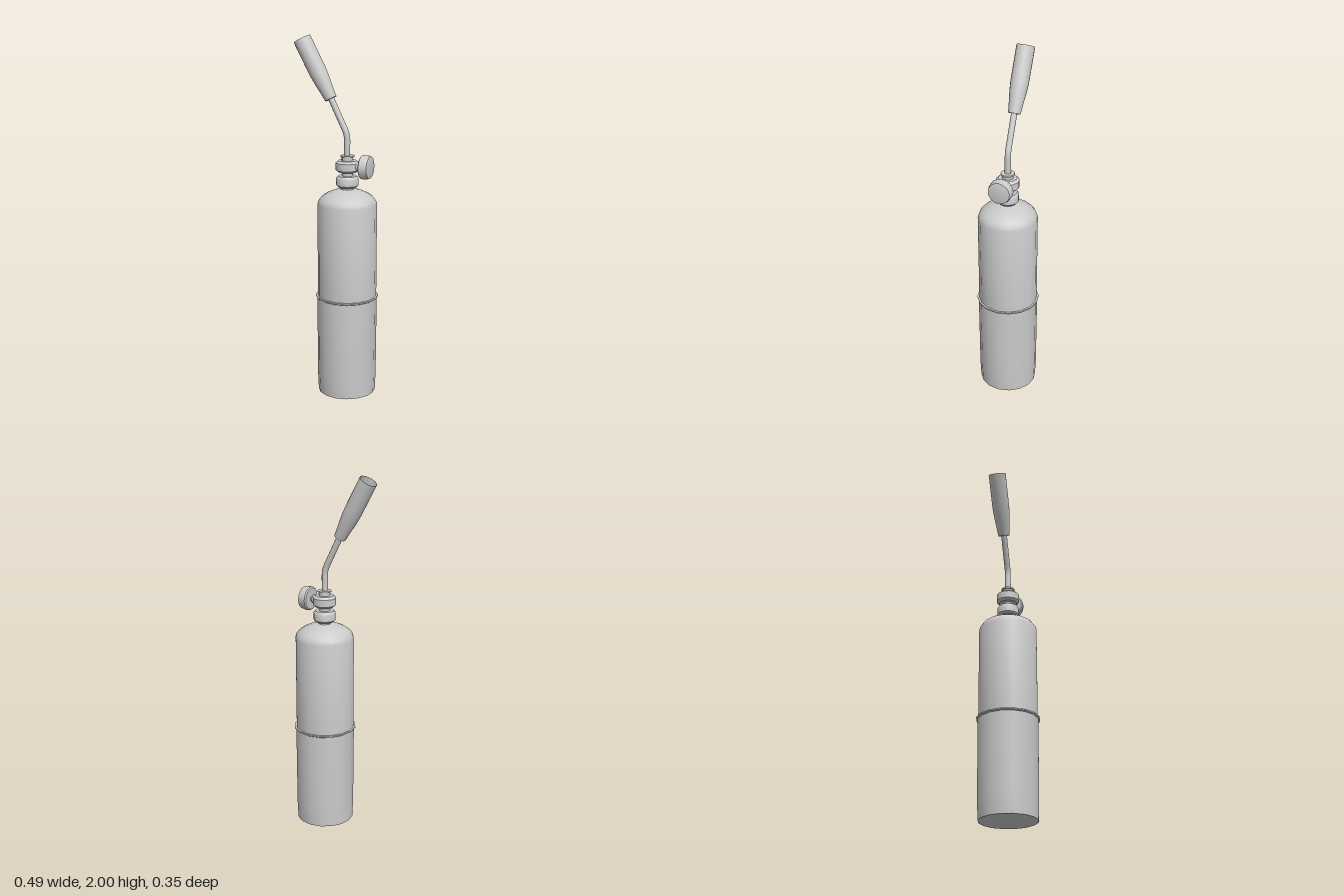
import * as THREE from 'three';
import { toCreasedNormals } from 'three/addons/utils/BufferGeometryUtils.js';

const grey = new THREE.MeshStandardMaterial({ color: 0xcccccc, side: THREE.DoubleSide });
const AXIS = 0.068; // x of the tank axis

// Turned part from [radius, height] pairs, with sharp corners kept
function turned(name, profile, sides = 16) {
  const points = profile.map(([r, y]) => new THREE.Vector2(r, y));
  const geometry = toCreasedNormals(new THREE.LatheGeometry(points, sides), 0.7);
  const mesh = new THREE.Mesh(geometry, grey);
  mesh.name = name;
  mesh.position.x = AXIS;
  return mesh;
}

export function createModel() {
  const group = new THREE.Group();
  group.name = 'gasTorch';

  // Fuel tank: upper body with domed shoulder, lower sleeve with a thin lip
  group.add(turned('tank', [
    [0.164, 0.56], [0.164, 1.09], [0.158, 1.11], [0.142, 1.13],
    [0.115, 1.148], [0.08, 1.163], [0.04, 1.172], [0.034, 1.174],
  ]));
  group.add(turned('sleeve', [
    [0, 0], [0.161, 0], [0.165, 0.1], [0.167, 0.555], [0.175, 0.56],
    [0.175, 0.567], [0.163, 0.567],
  ]));

  // Valve body: neck, two rounded collars and a top flange
  group.add(turned('valveBody', [
    [0.036, 1.165], [0.036, 1.185], [0.052, 1.185], [0.061, 1.195],
    [0.061, 1.235], [0.052, 1.247], [0.03, 1.247], [0.03, 1.268],
    [0.05, 1.268], [0.064, 1.28], [0.064, 1.32], [0.05, 1.332],
    [0.031, 1.332], [0.031, 1.352], [0.038, 1.352], [0.038, 1.36], [0, 1.36],
  ]));

  // Control knob with its boss and stem, pointing to +x
  const control = new THREE.Group();
  control.name = 'control';
  control.position.set(AXIS, 1.302, 0);
  control.rotation.z = -Math.PI / 2;
  const stem = turned('knobStem', [
    [0.028, 0.05], [0.024, 0.071], [0.012, 0.071], [0.012, 0.095],
  ], 12);
  const knob = turned('knob', [
    [0, 0.086], [0.06, 0.084], [0.067, 0.09], [0.066, 0.115],
    [0.061, 0.134], [0.05, 0.137], [0, 0.137],
  ]);
  for (const part of [stem, knob]) {
    part.position.x = 0;
    control.add(part);
  }
  group.add(control);

  // Bent gas pipe
  const path = new THREE.CurvePath();
  const foot = new THREE.Vector3(AXIS - 0.002, 1.35, 0);
  const bendStart = new THREE.Vector3(AXIS - 0.002, 1.445, 0);
  const bend = new THREE.Vector3(AXIS - 0.002, 1.475, 0);
  const bendEnd = new THREE.Vector3(0.052, 1.502, 0);
  const tip = new THREE.Vector3(-0.03, 1.667, 0);
  path.add(new THREE.LineCurve3(foot, bendStart));
  path.add(new THREE.QuadraticBezierCurve3(bendStart, bend, bendEnd));
  path.add(new THREE.LineCurve3(bendEnd, tip));
  const pipe = new THREE.Mesh(new THREE.TubeGeometry(path, 32, 0.017, 10), grey);
  pipe.name = 'pipe';
  group.add(pipe);

  // Flame tube: closed at the base, hollow and open at the mouth
  const flameTube = turned('flameTube', [
    [0, 0], [0.033, 0], [0.038, 0.05], [0.045, 0.11], [0.049, 0.165],
    [0.0495, 0.3575], [0.0475, 0.3575], [0.047, 0.165], [0.036, 0.05], [0, 0.02],
  ], 20);
  flameTube.position.set(-0.03, 1.663, 0);
  flameTube.rotation.z = 0.496;
  group.add(flameTube);

  return group;
}
